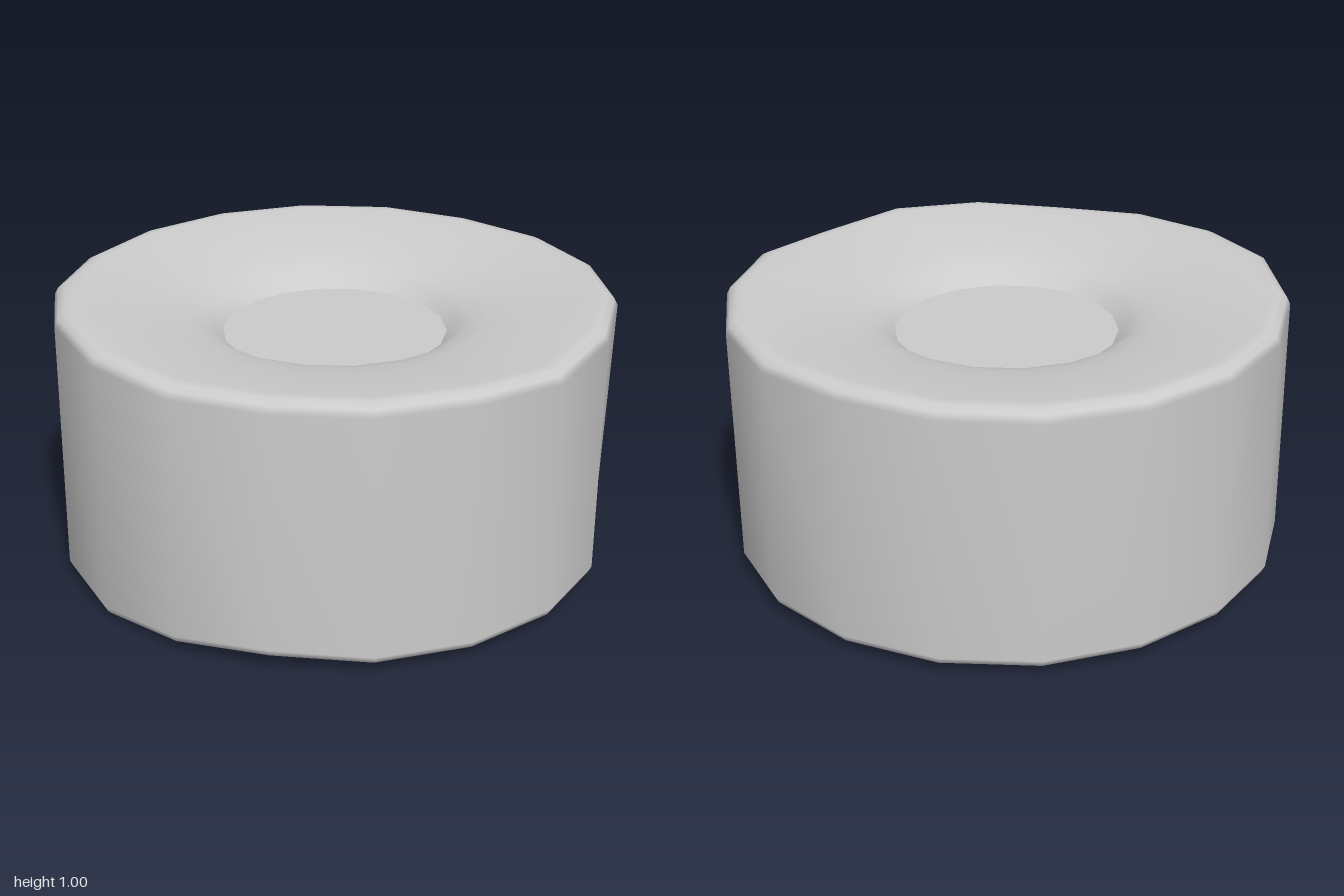
import * as THREE from 'three';

const SIDES = 18;
const material = new THREE.MeshStandardMaterial({ color: 0xcccccc });

// Upper half profile, [radius, height], from hub edge to the outer wall
const profile = [
  [0.4, 0.83], [0.435, 0.863], [0.48, 0.89], [0.55, 0.913], [0.65, 0.935],
  [0.78, 0.957], [0.92, 0.976], [0.955, 0.974], [0.982, 0.96], [0.995, 0.935],
];

// Unevenness of the rims, one value per 20 degree step from +x towards +z
const topRise = [0.003, 0, -0.026, -0.004, -0.008, -0.014, -0.006, 0.008, 0.024, 0.01, 0, 0, 0, 0, 0, 0, -0.003, 0];
const bottomRise = [0.005, 0.005, 0.005, 0.005, 0.006, 0.026, 0, -0.024, -0.014, 0.004, 0.01, 0.012, 0.01, 0.005, 0.005, 0.005, 0.01, 0.005];
const topShrink = { 4: 0.012, 5: 0.04, 6: 0.006, 14: 0.008, 15: 0.02 };
const bottomShrink = { 0: 0.035, 1: 0.01, 17: 0.01, 4: 0.002 };

// One closed loop of section points, swept around the axis
function buildBody() {
  const section = [
    ...profile.map(([r, y]) => ({ r, y, top: true })),
    ...profile.slice().reverse().map(([r, y]) => ({ r, y: 1 - y, top: false })),
  ];
  const positions = [], index = [];
  section.forEach(({ r, y, top }, i) => {
    const fade = Math.min(1, (r - 0.4) / 0.5); // the hub edge stays level
    for (let j = 0; j < SIDES; j++) {
      const a = (j / SIDES) * Math.PI * 2;
      const rr = r + 0.004 * fade - ((top ? topShrink : bottomShrink)[j] || 0) * fade;
      const yy = y + (top ? topRise : bottomRise)[j] * fade;
      positions.push(rr * Math.cos(a), yy, rr * Math.sin(a));
      if (i < section.length - 1) {
        const k = (j + 1) % SIDES;
        const p = i * SIDES + j, q = i * SIDES + k;
        index.push(p, q, p + SIDES, q, q + SIDES, p + SIDES);
      }
    }
  });
  const g = new THREE.BufferGeometry();
  g.setAttribute('position', new THREE.Float32BufferAttribute(positions, 3));
  g.setIndex(index);
  g.computeVertexNormals();
  return g;
}

export function createModel() {
  const group = new THREE.Group();

  const body = new THREE.Mesh(buildBody(), material);
  body.name = 'body';
  group.add(body);

  // Flat recessed discs above and below
  for (const [name, y, tilt] of [['topHub', 0.83, -1], ['bottomHub', 0.17, 1]]) {
    const hub = new THREE.Mesh(new THREE.CircleGeometry(0.4, SIDES), material);
    hub.name = name;
    hub.rotation.x = (tilt * Math.PI) / 2;
    hub.position.y = y;
    group.add(hub);
  }
  return group;
}
